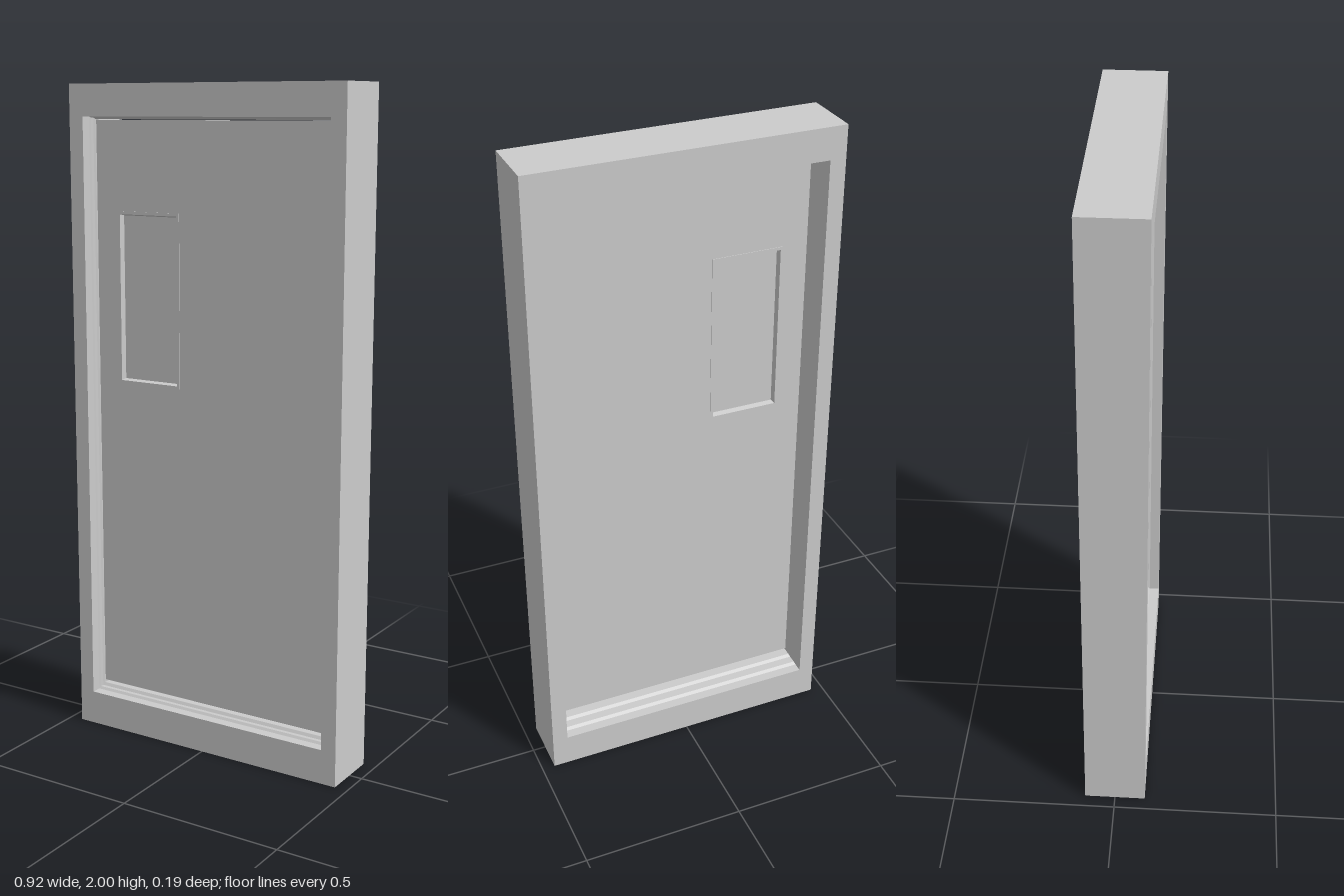
import * as THREE from 'three';

const material = new THREE.MeshStandardMaterial({ color: 0xcccccc, flatShading: true });

function addPart(group, name, geometry) {
  const mesh = new THREE.Mesh(geometry, material);
  mesh.name = name;
  group.add(mesh);
  return mesh;
}

// Rectangular loop, anticlockwise from the front
const loop = (x0, x1, y0, y1, z) => [[x0, y0, z], [x1, y0, z], [x1, y1, z], [x0, y1, z]];

// Mitred frame: joins rectangular loops running outer front, inner, outer back
function mitredFrame(loops) {
  const positions = [];
  loops.forEach((a, k) => {
    const b = loops[(k + 1) % loops.length];
    for (let i = 0; i < 4; i++) {
      const j = (i + 1) % 4;
      positions.push(...a[i], ...a[j], ...b[j], ...a[i], ...b[j], ...b[i]);
    }
  });
  const geometry = new THREE.BufferGeometry();
  geometry.setAttribute('position', new THREE.Float32BufferAttribute(positions, 3));
  geometry.computeVertexNormals();
  return geometry;
}

// Slab with a rectangular opening
function slabWithOpening(x0, x1, y0, y1, z0, z1, hole) {
  const points = (l, r, b, t) => loop(l, r, b, t, 0).map(([x, y]) => new THREE.Vector2(x, y));
  const shape = new THREE.Shape(points(x0, x1, y0, y1));
  shape.holes.push(new THREE.Path(points(...hole)));
  return new THREE.ExtrudeGeometry(shape, { depth: z1 - z0, bevelEnabled: false }).translate(0, 0, z0);
}

export function createModel() {
  const model = new THREE.Group();
  model.name = 'door';
  const W = 0.46, H = 2, D = 0.093;

  // Door frame: [depth, inset share] of the stepped inner moulding
  const moulding = [
    [D, 0], [0.062, 0], [0.056, 0.45], [0.044, 0.45], [0.038, 1],
    [-0.02, 1], [-0.028, 0.5], [-0.055, 0.5], [-0.063, 0], [-D, 0],
  ];
  addPart(model, 'doorFrame', mitredFrame([
    loop(-W, W, 0, H, D),
    ...moulding.map(([z, s]) =>
      loop(-0.412 + 0.006 * s, 0.412 - 0.006 * s, 0.105 + 0.015 * s, 1.906 - 0.008 * s, z)),
    loop(-W, W, 0, H, -D),
  ]));

  // Door leaf, set towards the front with a small gap all round
  const front = 0.037, back = 0;
  const [l, r, b, t] = [-0.33, -0.11, 1.11, 1.63];
  addPart(model, 'doorLeaf',
    slabWithOpening(-0.404, 0.404, 0.13, 1.896, back, front, [l, r, b, t]));

  // Window trim with bevelled inner edges, standing slightly proud
  const inner = (inset, z) => loop(l + inset, r - inset, b + inset, t - inset, z);
  addPart(model, 'windowTrim', mitredFrame([
    inner(0, front + 0.002), inner(0.009, front + 0.002), inner(0.013, front - 0.014),
    inner(0.013, back + 0.014), inner(0.009, back - 0.002), inner(0, back - 0.002),
  ]));

  // Window pane
  const pane = addPart(model, 'windowPane', new THREE.BoxGeometry(r - l - 0.02, t - b - 0.02, 0.008));
  pane.position.set((l + r) / 2, (b + t) / 2, (front + back) / 2);

  return model;
}
